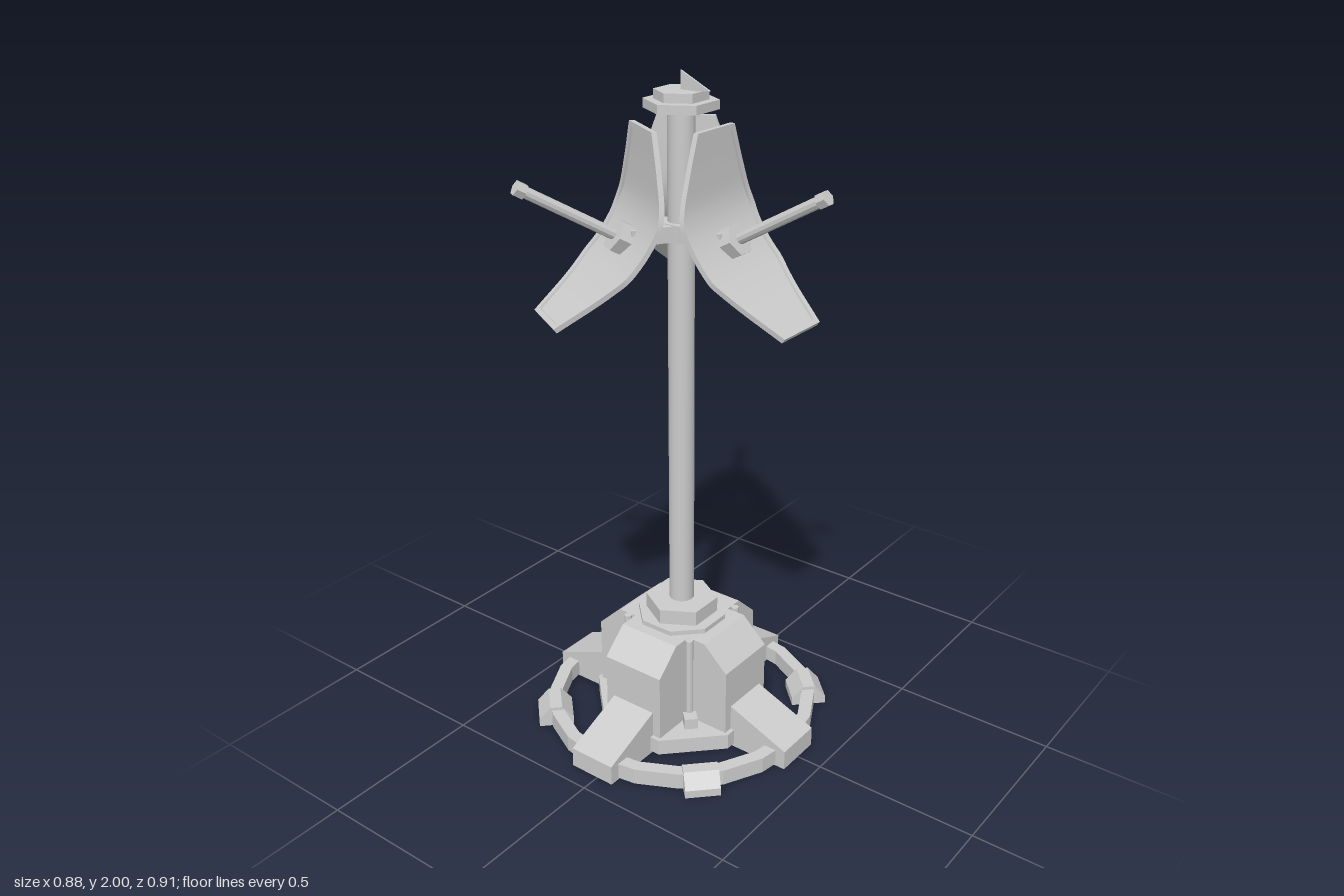
import * as THREE from 'three';
import { toCreasedNormals } from 'three/addons/utils/BufferGeometryUtils.js';

const mat = new THREE.MeshStandardMaterial({ color: 0xcccccc, side: THREE.DoubleSide });
const flat = new THREE.MeshStandardMaterial({ color: 0xcccccc, flatShading: true });

function add(parent, name, geo, x = 0, y = 0, z = 0, material = flat) {
  const m = new THREE.Mesh(geo, material);
  m.name = name;
  m.position.set(x, y, z);
  parent.add(m);
  return m;
}

// prism with a vertical axis standing on y0
function prism(parent, name, r, y0, y1, sides, turn = 0) {
  const g = new THREE.CylinderGeometry(r, r, y1 - y0, sides);
  g.rotateY(turn);
  return add(parent, name, g, 0, (y0 + y1) / 2, 0);
}

// side profile in (radius, height), extruded to a width and pointing to +x
function wedge(points, width) {
  const s = new THREE.Shape(points.map(p => new THREE.Vector2(...p)));
  return new THREE.ExtrudeGeometry(s, { depth: width, bevelEnabled: false }).translate(0, 0, -width / 2);
}

function polygonPath(target, r, n) {
  for (let i = 0; i < n; i++) {
    const a = (i / n) * Math.PI * 2;
    target[i ? 'lineTo' : 'moveTo'](r * Math.cos(a), r * Math.sin(a));
  }
  target.closePath();
  return target;
}

// half width of a panel at height y
function halfWidth(y) {
  const k = [[1.865, 0.08], [1.64, 0.16], [1.5, 0.16], [1.365, 0.085]];
  for (let i = 0; i < 3; i++) {
    if (y >= k[i + 1][0] || i === 2) {
      const t = (k[i][0] - y) / (k[i][0] - k[i + 1][0]);
      return THREE.MathUtils.lerp(k[i][1], k[i + 1][1], THREE.MathUtils.clamp(t, 0, 1));
    }
  }
}

// curved shield with a raised rim, lofted from top to bottom
function panelGeometry() {
  const curve = new THREE.CatmullRomCurve3(
    [[1.862, 0.117], [1.75, 0.119], [1.66, 0.126], [1.6, 0.148], [1.53, 0.197], [1.46, 0.272], [1.365, 0.402]]
      .map(([y, z]) => new THREE.Vector3(0, y, z)));
  const rows = [0, 0.024];
  for (let i = 0; i <= 30; i++) rows.push(0.026 + (i / 30) * 0.948);
  rows.push(0.976, 1);
  const pos = [], idx = [], N = 8;
  rows.forEach((u, j) => {
    const p = curve.getPointAt(u), t = curve.getTangentAt(u);
    const w = halfWidth(p.y), wi = w - 0.016;
    const rim = j < 2 || j > rows.length - 3;
    const d = rim ? 0 : -0.007;
    [[-w, -0.015], [w, -0.015], [w, 0], [wi, 0], [wi - 0.001, d], [-wi + 0.001, d], [-wi, 0], [-w, 0]]
      .forEach(([x, o]) => pos.push(x, p.y + t.z * o, p.z - t.y * o));
    if (j) for (let i = 0; i < N; i++) {
      const a = (j - 1) * N + i, b = (j - 1) * N + (i + 1) % N;
      idx.push(a, b, b + N, a, b + N, a + N);
    }
  });
  const last = (rows.length - 1) * N;
  for (let i = 1; i < N - 1; i++) idx.push(0, i + 1, i, last, last + i, last + i + 1);
  const g = new THREE.BufferGeometry();
  g.setAttribute('position', new THREE.Float32BufferAttribute(pos, 3));
  g.setIndex(idx);
  return toCreasedNormals(g, 0.5);
}

export function createModel() {
  const model = new THREE.Group();
  const body = new THREE.Group();
  body.name = 'lampPost';
  body.position.z = -0.02;
  model.add(body);

  // base plate, core and collar
  prism(body, 'basePlate', 0.277, 0.01, 0.06, 8, Math.PI / 8);
  prism(body, 'baseCore', 0.138, 0.05, 0.36, 8, Math.PI / 8);
  prism(body, 'baseCollar', 0.11, 0.36, 0.407, 6, Math.PI / 6 * 3);

  // ground ring
  const ringShape = polygonPath(new THREE.Shape(), 0.42, 20);
  ringShape.holes.push(polygonPath(new THREE.Path(), 0.38, 20));
  const ring = new THREE.ExtrudeGeometry(ringShape, { depth: 0.05, bevelEnabled: false });
  add(body, 'groundRing', ring.rotateX(-Math.PI / 2), 0, 0.005, 0);

  // four buttresses with feet, and ring clips and corner rods between them
  const buttress = wedge([[0.05, 0.04], [0.243, 0.04], [0.243, 0.27], [0.162, 0.345], [0.05, 0.345]], 0.205);
  const foot = wedge([[0.2, 0], [0.44, 0], [0.44, 0.062], [0.24, 0.142], [0.2, 0.142]], 0.15);
  const clip = wedge([[0.348, 0], [0.455, 0], [0.455, 0.025], [0.42, 0.065], [0.383, 0.065], [0.348, 0.025]], 0.105);
  for (let i = 0; i < 4; i++) {
    const side = new THREE.Group();
    side.name = 'baseQuarter';
    side.rotation.y = i * Math.PI / 2;
    body.add(side);
    add(side, 'buttress', buttress);
    add(side, 'foot', foot);
    add(side, 'ringClip', clip).rotation.y = Math.PI / 4;
    add(side, 'cornerRod', new THREE.CylinderGeometry(0.012, 0.012, 0.3, 8), 0.118, 0.2, 0.118);
    add(side, 'rodFoot', new THREE.BoxGeometry(0.04, 0.04, 0.04), 0.135, 0.075, 0.135).rotation.y = Math.PI / 4;
  }

  // pole and stepped cap
  add(body, 'pole', toCreasedNormals(new THREE.CylinderGeometry(0.038, 0.038, 1.5, 16), 0.6), 0, 1.15, 0, mat);
  prism(body, 'capLower', 0.103, 1.9, 1.925, 6, Math.PI / 2);
  prism(body, 'capUpper', 0.075, 1.925, 1.95, 6, Math.PI / 2);

  // small fin on the cap
  const fin = wedge([[0, 1.945], [0, 2], [-0.095, 1.955]], 0.006);
  add(body, 'capFin', fin).rotation.y = Math.PI / 2;

  // three panels around the pole, each with a bracket arm and a rod
  prism(body, 'bracketHub', 0.06, 1.545, 1.595, 6);
  const panel = panelGeometry();
  for (let i = 0; i < 3; i++) {
    const unit = new THREE.Group();
    unit.name = 'panelUnit';
    unit.rotation.y = i * Math.PI * 2 / 3;
    body.add(unit);
    add(unit, 'panel', panel, 0, 0, 0, mat);
    add(unit, 'bracketArm', new THREE.BoxGeometry(0.075, 0.045, 0.15), 0, 1.57, 0.085);

    // nut, rod and tip share one axis tilted 30 degrees up
    const spike = new THREE.Group();
    spike.name = 'rodAssembly';
    spike.position.set(0, 1.567, 0.175);
    spike.rotation.x = Math.PI / 3;
    unit.add(spike);
    prism(spike, 'nut', 0.048, -0.015, 0.025, 6, Math.PI / 2);
    prism(spike, 'rod', 0.016, 0, 0.32, 10);
    prism(spike, 'rodTip', 0.022, 0.305, 0.333, 6, Math.PI / 2);
  }
  return model;
}
